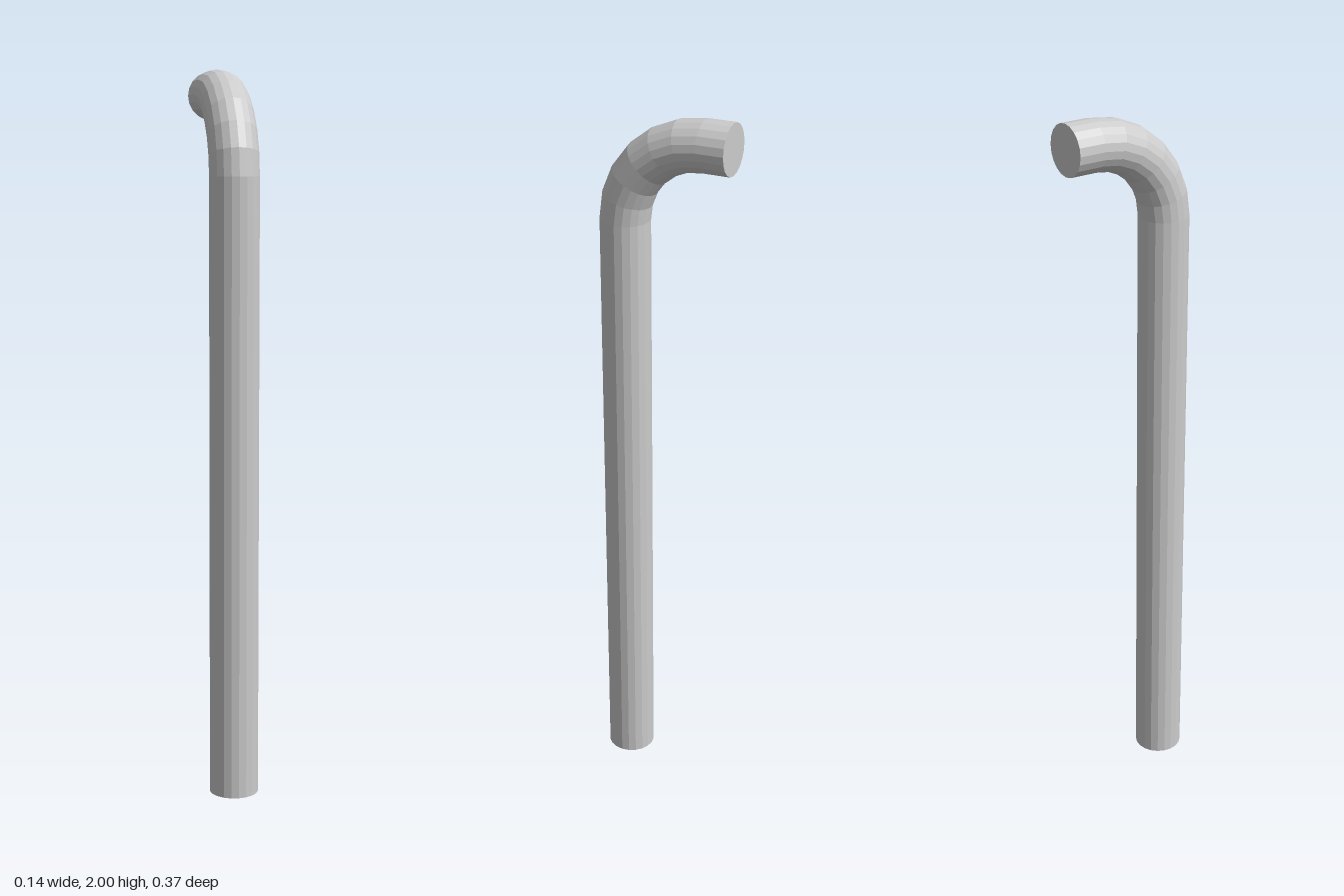
import * as THREE from 'three';

const RADIUS = 0.068;      // rod radius
const BEND = 0.225;        // bend radius along the rod's centre line
const BEND_STEPS = 6;
const CENTRE_Y = 1.707;    // centre of the bend
const CENTRE_Z = -0.108;
const END_Z = -0.185;      // tip of the short arm

export function createModel() {
  const group = new THREE.Group();
  group.name = 'bentRod';

  // Capped straight rod whose rows are swept along shaft, bend and short arm
  const rows = BEND_STEPS + 2;
  const geometry = new THREE.CylinderGeometry(RADIUS, RADIUS, rows, 20, rows);
  const pos = geometry.attributes.position;
  for (let i = 0; i < pos.count; i++) {
    const row = Math.round(pos.getY(i) + rows / 2);
    const step = THREE.MathUtils.clamp(row - 1, 0, BEND_STEPS);
    const angle = (step / BEND_STEPS) * Math.PI / 2;
    const reach = BEND + pos.getZ(i);
    let y = CENTRE_Y + reach * Math.sin(angle);
    let z = CENTRE_Z + reach * Math.cos(angle);
    if (row === 0) y = 0;          // foot of the shaft
    if (row === rows) z = END_Z;   // end of the short arm
    pos.setXYZ(i, pos.getX(i), y, z);
  }
  geometry.computeVertexNormals();

  const material = new THREE.MeshStandardMaterial({ color: 0xcccccc, flatShading: true });
  const rod = new THREE.Mesh(geometry, material);
  rod.name = 'rod';
  group.add(rod);
  return group;
}
